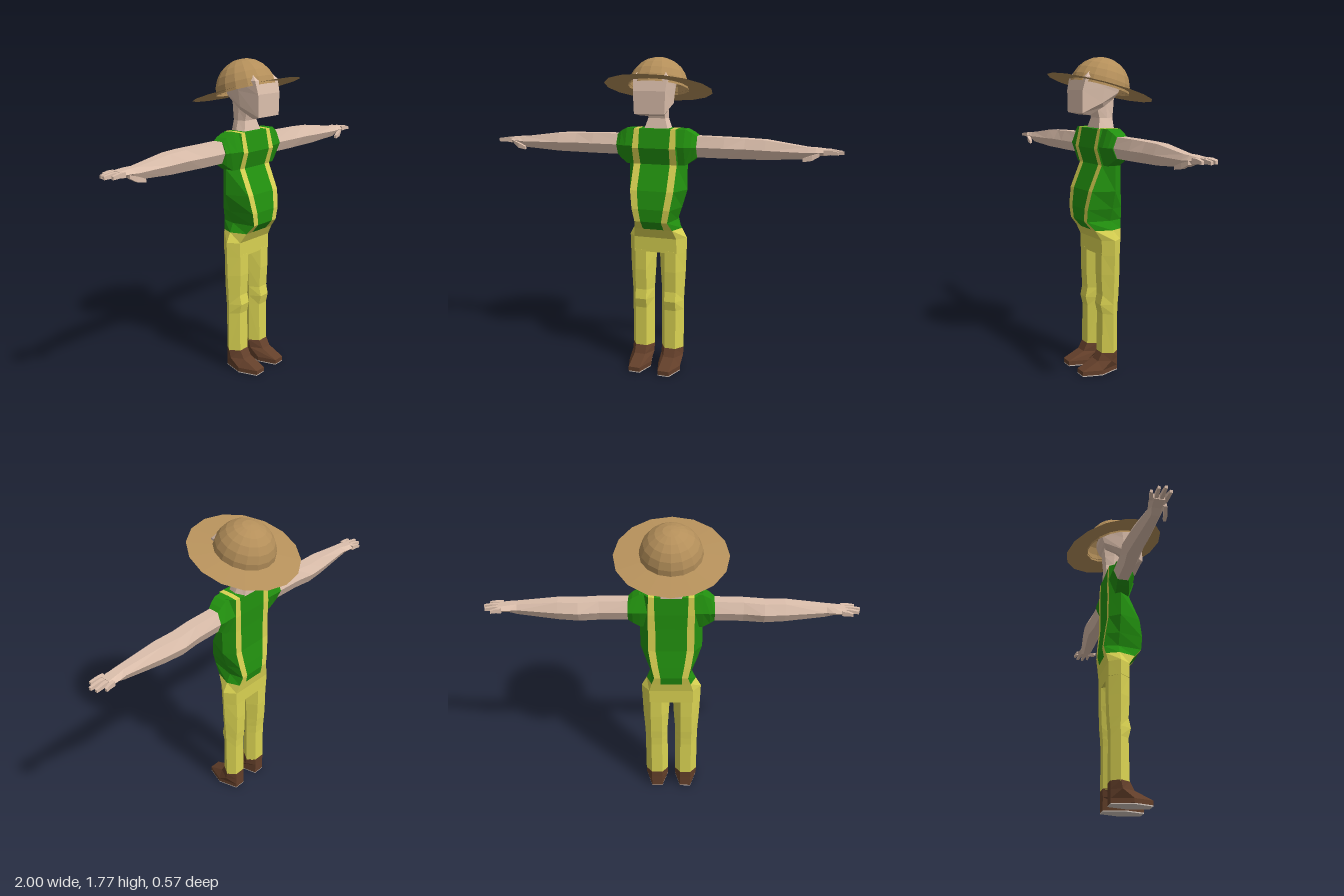
import * as THREE from 'three';

const mat = (name, color, extra = {}) => {
  const m = new THREE.MeshStandardMaterial({ color, flatShading: true, ...extra });
  m.name = name;
  return m;
};

// Skins a list of point rings, closes both ends and faces the result outwards.
// pick(segment) chooses the material index of each lengthwise strip.
function loft(name, rings, materials, pick = () => 0) {
  const mats = Array.isArray(materials) ? materials : [materials];
  const tris = mats.map(() => []);
  const n = rings[0].length;
  for (let i = 0; i < rings.length - 1; i++) {
    for (let j = 0; j < n; j++) {
      const k = (j + 1) % n;
      const [a, b, c, d] = [rings[i][j], rings[i][k], rings[i + 1][k], rings[i + 1][j]];
      tris[pick(j)].push([a, b, c], [a, c, d]);
    }
  }
  const first = rings[0], last = rings[rings.length - 1];
  for (let j = 1; j < n - 1; j++) {
    tris[0].push([first[0], first[j + 1], first[j]], [last[0], last[j], last[j + 1]]);
  }
  let volume = 0;
  const v = p => new THREE.Vector3(...p);
  for (const [a, b, c] of tris.flat()) volume += v(a).dot(v(b).cross(v(c)));
  const geo = new THREE.BufferGeometry();
  const pos = [];
  tris.forEach((list, m) => {
    const start = pos.length / 3;
    for (const [a, b, c] of list) pos.push(...a, ...(volume < 0 ? [...c, ...b] : [...b, ...c]));
    geo.addGroup(start, pos.length / 3 - start, m);
  });
  geo.setAttribute('position', new THREE.Float32BufferAttribute(pos, 3));
  geo.computeVertexNormals();
  const mesh = new THREE.Mesh(geo, mats.length > 1 ? mats : mats[0]);
  mesh.name = name;
  return mesh;
}

// Ten-sided body section: flat front and back with stripe bands, ridge at the sides
const bodyRing = ([y, w, s2, s1, zf, zb]) => [
  [w, y, 0], [s2, y, zf], [s1, y, zf], [-s1, y, zf], [-s2, y, zf],
  [-w, y, 0], [-s2, y, zb], [-s1, y, zb], [s1, y, zb], [s2, y, zb],
];

// Six-sided leg or shoe section on one side
const legRing = s => ([y, out, inn, zf, zb, zm = 0]) => [
  [s * out, y, zm], [s * 0.12, y, zf], [s * 0.055, y, zf],
  [s * inn, y, zm], [s * 0.055, y, zb], [s * 0.12, y, zb],
];

// Six-sided arm section across x
const armRing = s => ([x, top, mid, bot, zf, zb]) => {
  const zc = (zf + zb) / 2, h = (zf - zb) * 0.28, X = s * x;
  return [[X, mid, zf], [X, top, zc + h], [X, top, zc - h], [X, mid, zb], [X, bot, zc - h], [X, bot, zc + h]];
};

// Rectangular finger section across x
const barRing = s => ([x, y, z, hy, hz]) =>
  [[s * x, y + hy, z + hz], [s * x, y + hy, z - hz], [s * x, y - hy, z - hz], [s * x, y - hy, z + hz]];

// Head section whose front and back can sit at different heights
const headRing = ([yf, yb, hw, zf, zb]) => {
  const ym = (yf + yb) / 2, zm = (zf + zb) / 2;
  return [
    [hw, ym, zm], [hw * 0.85, yf, zf], [-hw * 0.85, yf, zf],
    [-hw, ym, zm], [-hw * 0.7, yb, zb], [hw * 0.7, yb, zb],
  ];
};

export function createModel() {
  const skin = mat('skin', 0xdcbfac);
  const green = mat('shirt green', 0x22900f);
  const yellow = mat('cloth yellow', 0xdad352);
  const brown = mat('shoe brown', 0x633f2a);
  const sole = mat('sole grey', 0xcfc3ba);
  const straw = mat('straw', 0xb48f5a, { side: THREE.DoubleSide });
  const model = new THREE.Group();
  model.name = 'figure';

  // Shirt with two stripes running over front, shoulders and back
  model.add(loft('shirt', [
    [0.83, 0.14, 0.11, 0.06, 0.092, -0.07],
    [0.88, 0.116, 0.095, 0.06, 0.135, -0.08],
    [0.95, 0.14, 0.11, 0.072, 0.138, -0.073],
    [1.05, 0.17, 0.125, 0.085, 0.12, -0.06],
    [1.19, 0.17, 0.125, 0.085, 0.06, -0.058],
    [1.28, 0.172, 0.125, 0.088, 0.088, -0.06],
    [1.385, 0.165, 0.12, 0.09, 0.065, -0.056],
    [1.388, 0.165, 0.12, 0.09, 0, 0],
  ].map(bodyRing), [green, yellow], j => ([1, 3, 6, 8].includes(j) ? 1 : 0)));

  // Trouser seat
  model.add(loft('trouserSeat', [
    [0.69, 0.168, 0.125, 0.05, 0.058, -0.058],
    [0.775, 0.17, 0.125, 0.06, 0.06, -0.06],
    [0.83, 0.14, 0.11, 0.06, 0.092, -0.07],
  ].map(bodyRing), yellow));

  // Neck and head
  model.add(loft('neck', [
    [1.38, 1.38, 0.08, 0.045, -0.057],
    [1.44, 1.44, 0.057, 0.03, -0.056],
    [1.5, 1.5, 0.056, 0.045, -0.062],
    [1.6, 1.6, 0.056, 0.05, -0.07],
  ].map(headRing), skin));
  model.add(loft('head', [
    [1.457, 1.545, 0.075, 0.1, -0.06],
    [1.47, 1.575, 0.1, 0.155, -0.075],
    [1.59, 1.62, 0.106, 0.155, -0.09],
    [1.66, 1.66, 0.112, 0.138, -0.09],
    [1.71, 1.71, 0.08, 0.09, -0.06],
  ].map(headRing), skin));

  // Wide hat tipped back
  const hat = new THREE.Group();
  hat.name = 'hat';
  hat.position.y = 1.6;
  hat.rotation.x = -0.278;
  const crown = new THREE.Mesh(new THREE.SphereGeometry(0.166, 16, 6, 0, Math.PI * 2, 0, Math.PI / 2), straw);
  crown.name = 'hatCrown';
  const brim = new THREE.Mesh(new THREE.CylinderGeometry(0.162, 0.297, 0.012, 16, 1, true), straw);
  brim.name = 'hatBrim';
  brim.position.y = 0.006;
  hat.add(crown, brim);
  model.add(hat);

  for (const s of [1, -1]) {
    const side = s > 0 ? 'left' : 'right';

    // Trouser leg with knee bulge
    model.add(loft(side + 'TrouserLeg', [
      [0.115, 0.155, 0.022, 0.055, -0.045],
      [0.35, 0.155, 0.022, 0.051, -0.045],
      [0.405, 0.155, 0.022, 0.064, -0.048],
      [0.46, 0.157, 0.022, 0.052, -0.053],
      [0.58, 0.164, 0.014, 0.059, -0.058],
      [0.7, 0.168, 0.008, 0.059, -0.058],
    ].map(legRing(s)), yellow));

    // Shoe and sole
    model.add(loft(side + 'Shoe', [
      [0.006, 0.155, 0.022, 0.178, -0.045, 0.07],
      [0.03, 0.155, 0.022, 0.178, -0.045, 0.07],
      [0.075, 0.155, 0.022, 0.08, -0.045, 0.01],
      [0.12, 0.155, 0.022, 0.056, -0.046, 0],
    ].map(legRing(s)), brown));
    model.add(loft(side + 'Sole', [
      [0, 0.154, 0.023, 0.177, -0.044, 0.07],
      [0.006, 0.154, 0.023, 0.177, -0.044, 0.07],
    ].map(legRing(s)), sole));

    // Short sleeve
    model.add(loft(side + 'Sleeve', [
      [0.12, 1.386, 1.29, 1.19, 0.085, -0.058],
      [0.168, 1.386, 1.29, 1.19, 0.08, -0.058],
      [0.205, 1.367, 1.29, 1.215, 0.068, -0.06],
      [0.23, 1.347, 1.29, 1.235, 0.056, -0.058],
    ].map(armRing(s)), green));

    // Arm and palm
    model.add(loft(side + 'Arm', [
      [0.16, 1.35, 1.29, 1.235, 0.05, -0.055],
      [0.38, 1.347, 1.29, 1.235, 0.05, -0.058],
      [0.49, 1.343, 1.29, 1.235, 0.045, -0.073],
      [0.6, 1.34, 1.288, 1.237, 0.048, -0.062],
      [0.82, 1.312, 1.285, 1.252, 0.046, -0.03],
      [0.86, 1.31, 1.288, 1.268, 0.046, -0.04],
      [0.92, 1.304, 1.289, 1.274, 0.045, -0.048],
    ].map(armRing(s)), skin));

    // Four spread fingers: tip x, base z, tip z
    [[0.975, 0.034, 0.041], [1, 0.011, 0.009], [0.99, -0.014, -0.023], [0.955, -0.036, -0.05]]
      .forEach(([tip, z0, z1], i) => model.add(loft(side + 'Finger' + (i + 1), [
        [0.9, 1.29, z0, 0.013, 0.011],
        [(0.9 + tip) / 2, 1.291, (z0 + z1) / 2, 0.011, 0.009],
        [tip, 1.287, z1, 0.008, 0.007],
      ].map(barRing(s)), skin)));

    // Thumb hanging in front of the palm
    model.add(loft(side + 'Thumb', [
      [0.88, 1.278, 0.04, 0.009, 0.01],
      [0.845, 1.262, 0.052, 0.014, 0.011],
      [0.8, 1.25, 0.06, 0.009, 0.008],
    ].map(barRing(s)), skin));
  }
  return model;
}
